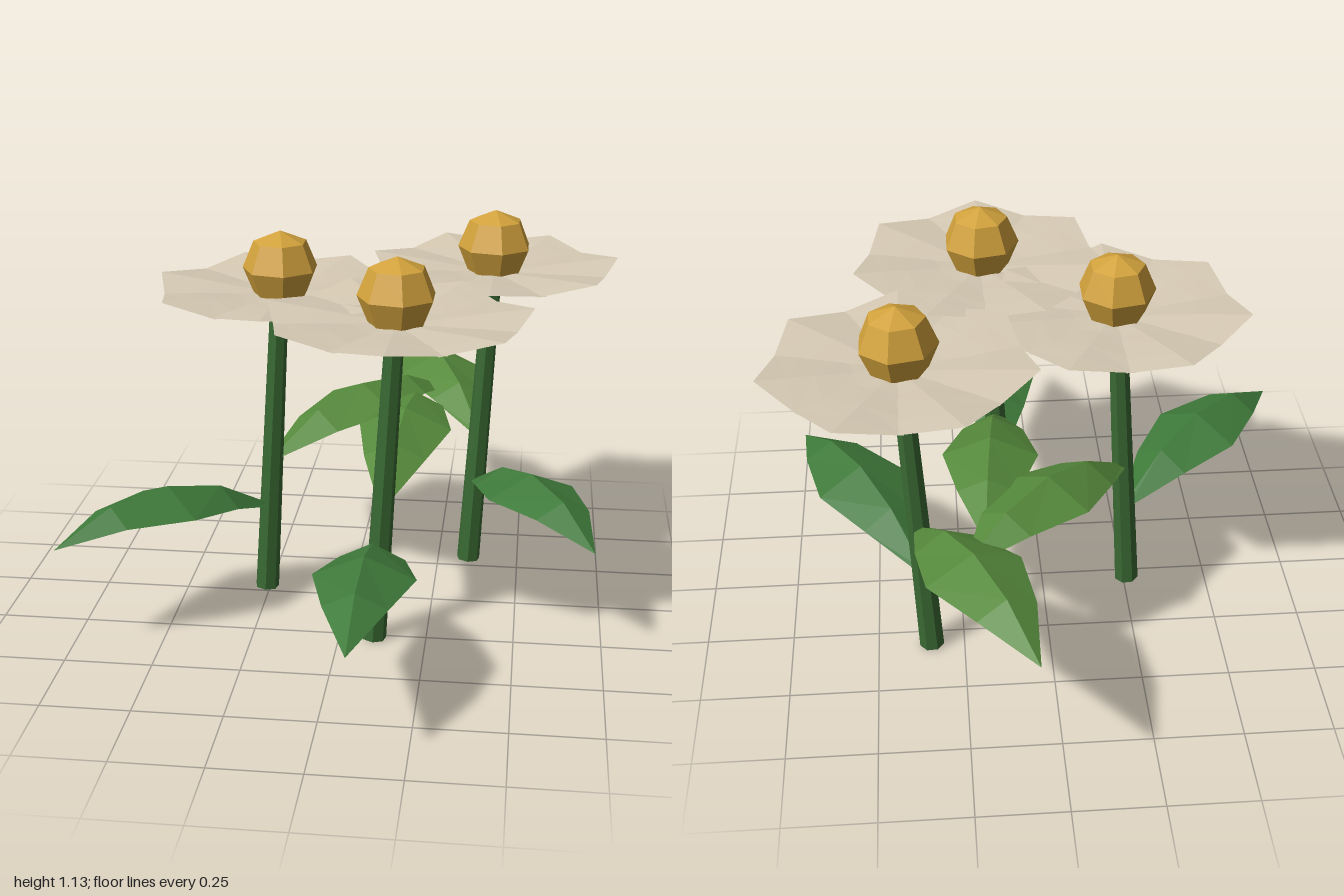
import * as THREE from 'three';

const material = (color) =>
  new THREE.MeshStandardMaterial({ color, flatShading: true, side: THREE.DoubleSide });

function addMesh(parent, name, geometry, mat) {
  const mesh = new THREE.Mesh(geometry, mat);
  mesh.name = name;
  parent.add(mesh);
  return mesh;
}

// Creased blade along +x: each row is [distance, half width, ridge height, edge drop]
function bladeGeometry(rows) {
  const positions = [];
  const index = [];
  rows.forEach(([x, w, y, drop], i) => {
    positions.push(x, y - drop, -w, x, y, 0, x, y - drop, w);
    if (i === 0) return;
    for (let k = 0; k < 2; k++) {
      const a = (i - 1) * 3 + k;
      const b = a + 3;
      index.push(a, a + 1, b, a + 1, b + 1, b);
    }
  });
  const geometry = new THREE.BufferGeometry();
  geometry.setAttribute('position', new THREE.Float32BufferAttribute(positions, 3));
  geometry.setIndex(index);
  geometry.computeVertexNormals();
  return geometry;
}

const LEAF_ROWS = [
  [0, 0.015, 0, 0.005],
  [0.18, 0.09, 0.105, 0.045],
  [0.36, 0.138, 0.15, 0.06],
  [0.55, 0.085, 0.135, 0.04],
  [0.735, 0, 0.055, 0],
];

const PETAL_ROWS = [
  [0.02, 0.02, -0.012, 0],
  [0.12, 0.085, -0.006, 0.006],
  [0.22, 0.15, 0.004, 0.013],
  [0.295, 0.155, 0.01, 0.015],
  [0.378, 0, 0.016, 0],
];

// base and head centre of each flower, with directions of its two leaves in degrees (x towards z)
const FLOWERS = [
  { base: [-0.26, -0.035], head: [-0.205, 1.007, -0.042], lower: 135, upper: -48 },
  { base: [0.1, 0.265], head: [0.157, 1.02, 0.257], lower: 91, upper: -85 },
  { base: [0.345, -0.305], head: [0.4, 1.02, -0.312], lower: 61, upper: -113.4 },
];

export function createModel() {
  const model = new THREE.Group();
  model.name = 'flowers';

  const stemMat = material(0x3a6a34);
  const lowerLeafMat = material(0x3f7a3a);
  const upperLeafMat = material(0x568a3c);
  const petalMat = material(0xd6cab4);
  const centreMat = material(0xd2a23c);

  const leafGeometry = bladeGeometry(LEAF_ROWS);
  const petalGeometry = bladeGeometry(PETAL_ROWS);
  const centreGeometry = new THREE.SphereGeometry(0.11, 7, 4);

  for (const { base, head, lower, upper } of FLOWERS) {
    const flower = new THREE.Group();
    flower.name = 'flower';
    model.add(flower);

    const foot = new THREE.Vector3(base[0], 0, base[1]);
    const top = new THREE.Vector3(...head);
    const axis = top.clone().sub(foot);

    // tapered leaning stem
    const length = axis.length() - 0.05;
    const stemGeometry = new THREE.CylinderGeometry(0.027, 0.036, length, 7);
    stemGeometry.translate(0, length / 2, 0);
    const stem = addMesh(flower, 'stem', stemGeometry, stemMat);
    stem.position.copy(foot);
    stem.quaternion.setFromUnitVectors(new THREE.Vector3(0, 1, 0), axis.clone().normalize());

    // two arching leaves growing from the stem
    const leaves = [
      ['lowerLeaf', 0.273, lower, lowerLeafMat],
      ['upperLeaf', 0.425, upper, upperLeafMat],
    ];
    for (const [name, y, angle, mat] of leaves) {
      const leaf = addMesh(flower, name, leafGeometry, mat);
      leaf.position.copy(foot).addScaledVector(axis, y / axis.y);
      leaf.rotation.y = -THREE.MathUtils.degToRad(angle);
    }

    // flat ring of seven petals
    const petals = new THREE.Group();
    petals.name = 'petals';
    petals.position.set(top.x, top.y - 0.062, top.z);
    flower.add(petals);
    for (let i = 0; i < 7; i++) {
      const petal = addMesh(petals, 'petal', petalGeometry, petalMat);
      petal.rotation.y = -Math.PI / 2 + (i / 7) * Math.PI * 2;
    }

    // round flower centre
    addMesh(flower, 'flowerCentre', centreGeometry, centreMat).position.copy(top);
  }
  return model;
}
